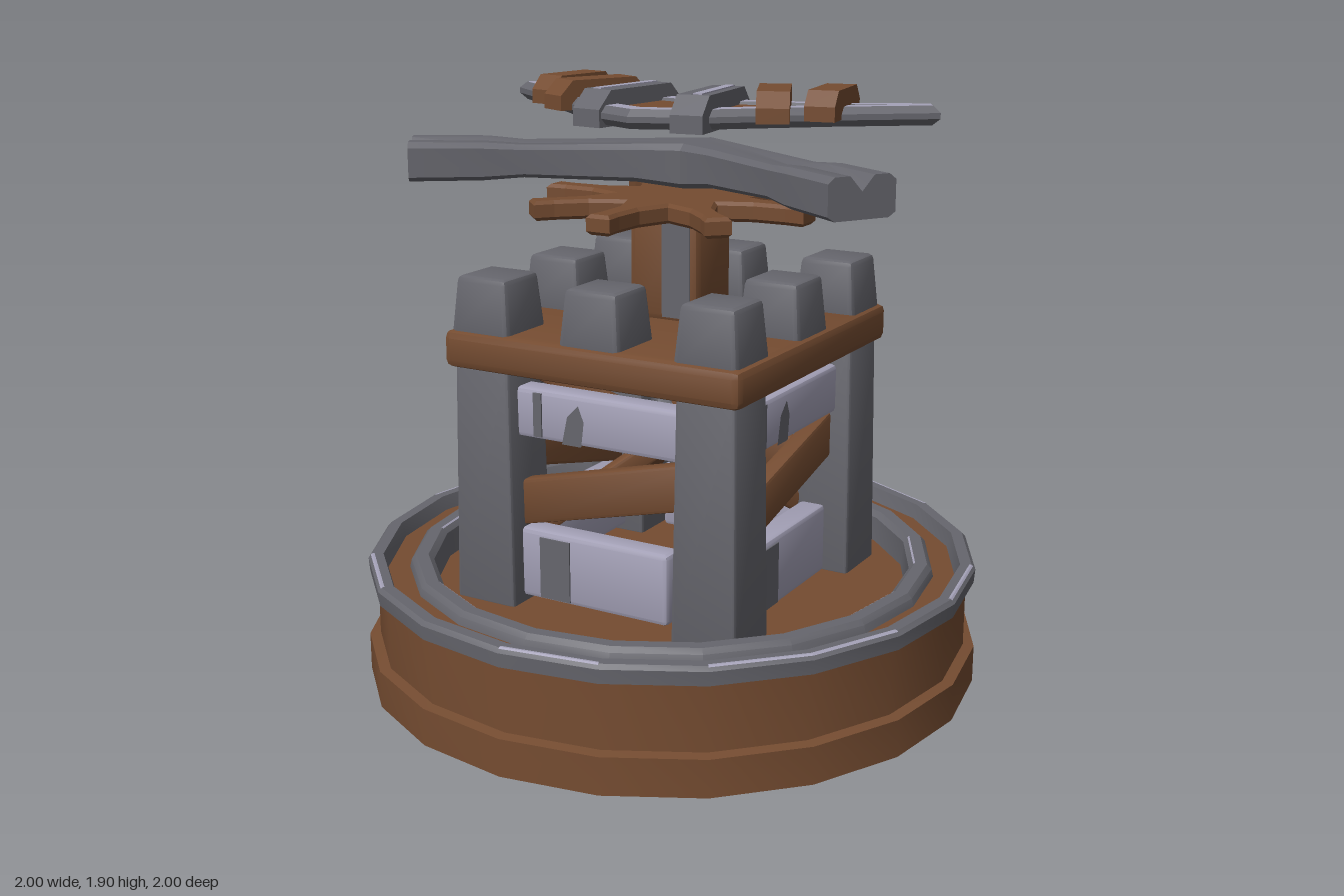
import * as THREE from 'three';
import { toCreasedNormals } from 'three/addons/utils/BufferGeometryUtils.js';
import { RoundedBoxGeometry } from 'three/addons/geometries/RoundedBoxGeometry.js';

const material = (name, color) => {
  const m = new THREE.MeshStandardMaterial({ color });
  m.name = name;
  return m;
};

export function createModel() {
  const wood = material('brown wood', 0x754c31);
  const stone = material('grey stone', 0x66666d);
  const worn = material('pale worn edge', 0xa5a2b8);
  const model = new THREE.Group();
  model.name = 'crossbowTower';

  const add = (parent, name, geo, mat, x = 0, y = 0, z = 0) => {
    const mesh = new THREE.Mesh(geo, mat);
    mesh.name = name;
    mesh.position.set(x, y, z);
    parent.add(mesh);
    return mesh;
  };
  // Chamfered box whose top can be narrower than its bottom
  const block = (w, h, d, bevel = 0.015, taper = 1) => {
    const geo = new RoundedBoxGeometry(w, h, d, 1, bevel);
    const p = geo.attributes.position;
    for (let i = 0; i < p.count; i++) {
      const s = 1 + (taper - 1) * (p.getY(i) / h + 0.5);
      p.setX(i, p.getX(i) * s);
      p.setZ(i, p.getZ(i) * s);
    }
    return toCreasedNormals(geo, 0.5);
  };
  const lathe = (pts, seg = 20, start = 0, length = Math.PI * 2) =>
    toCreasedNormals(new THREE.LatheGeometry(
      pts.map(([x, y]) => new THREE.Vector2(x, y)), seg, start, length), 0.6);
  // Flat outline in x and z, extruded upward
  const slab = (pts, holes, depth, bevel) => {
    const v = (list) => list.map(([x, z]) => new THREE.Vector2(x, -z));
    const shape = new THREE.Shape(v(pts));
    holes.forEach((h) => shape.holes.push(new THREE.Path(v(h))));
    return new THREE.ExtrudeGeometry(shape, {
      depth, bevelEnabled: true, bevelSize: bevel, bevelThickness: bevel, bevelSegments: 1,
    }).rotateX(-Math.PI / 2);
  };

  // Round base, hollow underneath, with a sunken floor and two raised rings
  add(model, 'base', lathe([[0, 0.11], [0.8, 0.11], [0.94, 0.11], [0.94, 0], [1, 0], [1, 0.12],
    [0.965, 0.125], [0.965, 0.35], [0.8, 0.35], [0.78, 0.29], [0, 0.29]]), wood);
  add(model, 'outerRing', lathe([[0.95, 0.34], [0.99, 0.34], [0.994, 0.385],
    [0.982, 0.398], [0.945, 0.398], [0.93, 0.345]]), stone);
  add(model, 'innerRing', lathe([[0.862, 0.345], [0.855, 0.375], [0.84, 0.39], [0.8, 0.39],
    [0.782, 0.372], [0.775, 0.288]]), stone);
  const step = Math.PI / 10;
  [0, 2, 3, 5, 8, 9, 12, 14, 17].forEach((k) => {
    add(model, 'ringWear', lathe([[0.9865, 0.396], [0.981, 0.4], [0.974, 0.4]], 1, k * step, step), worn);
    add(model, 'ringWear', lathe([[0.802, 0.392], [0.796, 0.388]], 1, (k + 1) * step, step), worn);
  });

  // Four identical tower sides, each with one corner leg
  for (let k = 0; k < 4; k++) {
    const side = new THREE.Group();
    side.name = 'towerSide';
    side.rotation.y = k * Math.PI / 2;
    model.add(side);
    add(side, 'leg', block(0.22, 0.78, 0.22, 0.012, 0.9), stone, 0.395, 0.67, 0.395);
    add(side, 'topBeam', block(0.62, 0.16, 0.09), worn, 0, 0.92, 0.4);
    add(side, 'bottomBeam', block(0.54, 0.23, 0.09), worn, -0.03, 0.425, 0.4);
    add(side, 'beamPatch', new THREE.BoxGeometry(0.03, 0.14, 0.008), stone, -0.22, 0.92, 0.446);
    const chip = new THREE.Shape([[-0.13, 0.84], [-0.06, 0.84], [-0.05, 0.92], [-0.07, 0.97], [-0.11, 0.93]]
      .map(([x, y]) => new THREE.Vector2(x, y)));
    add(side, 'beamPatch', new THREE.ShapeGeometry(chip), stone, 0, 0, 0.449);
    add(side, 'beamPatch', new THREE.BoxGeometry(0.11, 0.2, 0.008), stone, -0.165, 0.42, 0.446);
    const plank = add(side, 'slantedPlank', block(0.68, 0.145, 0.06, 0.01), wood, 0, 0.69, 0.4);
    plank.rotation.z = 0.24;
    // Inner brace from one corner, rising across the tower
    const brace = add(side, 'innerBrace', block(1.02, 0.07, 0.05, 0.01), k === 1 ? stone : wood, 0, 0.77, 0);
    brace.rotation.set(0, Math.PI / 4, 0.54);
    // Battlements: one corner and one middle block per side
    add(side, 'battlement', block(0.215, 0.19, 0.215, 0.018, 0.84), stone, 0.395, 1.245, 0.395);
    add(side, 'battlement', block(0.215, 0.19, 0.215, 0.018, 0.84), stone, 0, 1.245, 0.395);
  }
  add(model, 'platform', block(1.04, 0.12, 1.04, 0.025), wood, 0, 1.11, 0);

  // Square post with a bare patch on the front
  add(model, 'post', block(0.25, 0.36, 0.23, 0.025), wood, 0, 1.34, -0.055);
  add(model, 'postPatch', new THREE.BoxGeometry(0.1, 0.3, 0.008), stone, 0.05, 1.33, 0.06);

  // Eight-spoked wheel
  const star = [];
  for (let k = 0; k < 8; k++) {
    [[0.455, -0.03], [0.455, 0.03], [0.4, 0.024], [0.29, 0.028], [0.22, 0.055],
      [0.175, 0.0725], [0.22, -0.055, 1], [0.29, -0.028, 1], [0.4, -0.024, 1]].forEach(([r, w, next = 0]) => {
      const a = (k + next) * Math.PI / 4;
      star.push([r * Math.cos(a) - w * Math.sin(a), r * Math.sin(a) + w * Math.cos(a)]);
    });
  }
  add(model, 'spokedWheel', slab(star, [], 0.04, 0.011), wood, 0, 1.509, -0.03);

  // V-shaped pair of grooved limbs, lofted from cross-sections mitred at the middle
  // Each section: back x, z, front x, z, bottom, top, groove depth
  const half = [[0, -0.28, 0, -0.05, 1.57, 1.712, 0], [0.22, -0.148, 0.13, 0.005, 1.59, 1.71, 0],
    [0.53, 0.04, 0.43, 0.19, 1.605, 1.708, 0.01], [0.64, 0.085, 0.53, 0.275, 1.598, 1.718, 0.02],
    [0.845, 0.21, 0.725, 0.4, 1.596, 1.72, 0.045]];
  const sections = [...half.slice(1).reverse().map(([a, b, c, ...rest]) => [-a, b, -c, ...rest]), ...half];
  const loop = [[0, 0.12], [0.1, 0], [0.9, 0], [1, 0.12], [1, 0.86], [0.9, 1], [0.68, 1], [0.5, 1], [0.32, 1], [0.1, 1], [0, 0.86]];
  const pos = [], idx = [], n = loop.length;
  sections.forEach(([bx, bz, fx, fz, y0, y1, groove], i) => {
    loop.forEach(([u, v], j) => pos.push(
      bx + (fx - bx) * u, y0 + (y1 - y0) * v - (j === 7 ? groove : 0), bz + (fz - bz) * u));
    if (i === sections.length - 1) return;
    for (let j = 0; j < n; j++) {
      const a = i * n + j, b = i * n + (j + 1) % n;
      idx.push(a, a + n, b, b, a + n, b + n);
    }
  });
  const last = (sections.length - 1) * n, mid = pos.length / 3;
  pos.push(-0.785, 1.65, 0.305, 0.785, 1.65, 0.305);
  for (let j = 0; j < n; j++) {
    const q = (j + 1) % n;
    idx.push(mid, j, q, mid + 1, last + q, last + j);
  }
  const limbs = new THREE.BufferGeometry();
  limbs.setAttribute('position', new THREE.Float32BufferAttribute(pos, 3));
  limbs.setIndex(idx);
  add(model, 'limbs', toCreasedNormals(limbs, 0.5), stone);
  add(model, 'limbJoint', block(0.12, 0.18, 0.09, 0.008), stone, 0, 1.55, -0.215);

  // Crescent bow: worn rim around a wooden panel
  const mirror = (side) => side.concat(side.slice(1, -1).reverse().map(([x, z]) => [-x, z]));
  const outer = mirror([[0, 0.245], [0.17, 0.175], [0.3, 0.06], [0.5, -0.112], [0.745, -0.295],
    [0.715, -0.345], [0.5, -0.23], [0.2, -0.158], [0, -0.118]]);
  const inner = mirror([[0, 0.185], [0.15, 0.125], [0.28, 0.01], [0.47, -0.145],
    [0.62, -0.262], [0.47, -0.188], [0.2, -0.108], [0, -0.07]]);
  add(model, 'bowRim', slab(outer, [inner], 0.018, 0.021), [worn, stone], 0, 1.813, 0);
  add(model, 'bowPanel', slab(inner, [], 0.02, 0.012), wood, 0, 1.811, 0);

  // Straps folded over the bow, with sloping ends
  const strap = (name, mat, [x0, z0], [x1, z1], w, y0, y1) => {
    const len = Math.hypot(x1 - x0, z1 - z0), h = y1 - y0;
    const shape = new THREE.Shape([[-0.5, 0], [0.5, 0], [0.5, 0.5], [0.36, 1], [-0.36, 1], [-0.5, 0.5]]
      .map(([u, v]) => new THREE.Vector2(u * len, v * h)));
    const geo = new THREE.ExtrudeGeometry(shape, { depth: w, bevelEnabled: false });
    geo.translate(0, 0, -w / 2).rotateY(-Math.PI / 2);
    const mesh = add(model, name, geo, mat, (x0 + x1) / 2, y0, (z0 + z1) / 2);
    mesh.rotation.y = Math.atan2(x1 - x0, z1 - z0);
    return mesh;
  };
  [1, -1].forEach((s) => {
    const grip = strap('gripStrap', stone, [s * 0.12, -0.19], [s * 0.175, 0.22], 0.105, 1.785, 1.895);
    add(grip, 'gripWear', new THREE.BoxGeometry(0.03, 0.006, 0.28), worn, s * 0.01, 0.111, 0);
    strap('bowStrap', wood, [s * 0.25, -0.22], [s * 0.39, 0.08], 0.1, 1.812, 1.905);
    strap('bowStrap', wood, [s * 0.445, -0.31], [s * 0.495, -0.02], 0.095, 1.815, 1.905);
  });
  return model;
}
